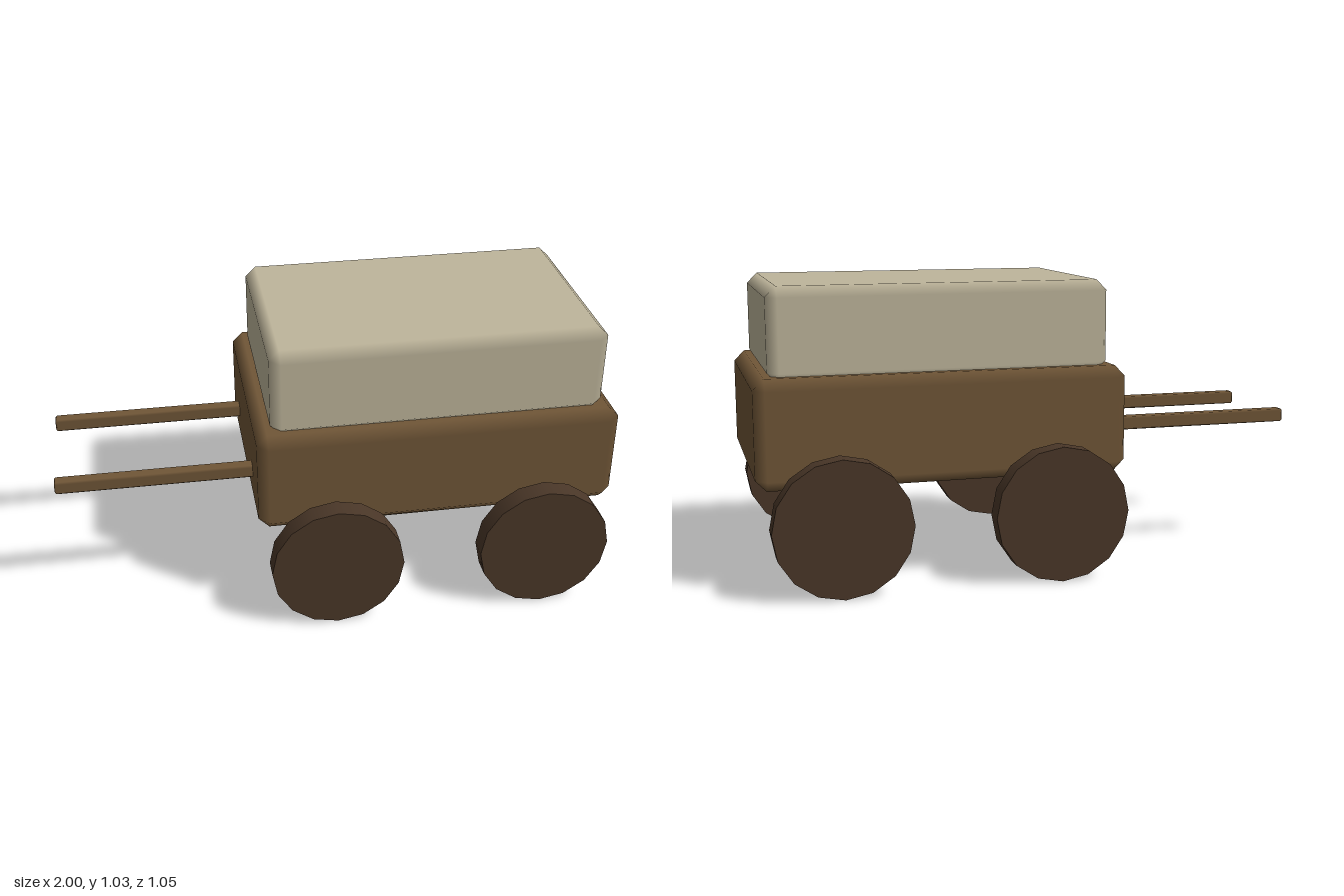
import * as THREE from 'three';
import { ConvexGeometry } from 'three/addons/geometries/ConvexGeometry.js';

const wood = new THREE.MeshStandardMaterial({ color: 0x705637 });
const darkWood = new THREE.MeshStandardMaterial({ color: 0x4a3728 });
const canvas = new THREE.MeshStandardMaterial({ color: 0xbeb59b });

// Box with one 45 degree chamfer on every edge; faces stay flat, chamfers shade smoothly
function chamferBox(w, h, d, c) {
  const half = [w / 2, h / 2, d / 2];
  const points = [];
  for (const sx of [-1, 1]) for (const sy of [-1, 1]) for (const sz of [-1, 1]) {
    for (let axis = 0; axis < 3; axis++) {
      const p = [sx, sy, sz].map((s, i) => s * (half[i] - (i === axis ? 0 : c)));
      points.push(new THREE.Vector3(...p));
    }
  }
  const geo = new ConvexGeometry(points);
  const pos = geo.attributes.position;
  const normal = geo.attributes.normal;
  for (let i = 0; i < pos.count; i++) {
    const p = [pos.getX(i), pos.getY(i), pos.getZ(i)];
    const n = p.map((v, k) => (Math.abs(v) > half[k] - c / 2 ? Math.sign(v) : 0));
    normal.setXYZ(i, ...n);
  }
  return geo;
}

export function createModel() {
  const cart = new THREE.Group();
  cart.name = 'cart';

  const add = (name, geometry, material, x, y, z) => {
    const mesh = new THREE.Mesh(geometry, material);
    mesh.name = name;
    mesh.position.set(x, y, z);
    cart.add(mesh);
  };

  // Cart bed and the covered load sunk slightly into it
  add('bed', chamferBox(1.296, 0.377, 0.862, 0.038), wood, 0.352, 0.542, 0);
  add('cover', chamferBox(1.188, 0.325, 0.756, 0.037), canvas, 0.352, 0.867, 0);

  // Solid disc wheels and pull shafts, mirrored on both sides
  const wheel = new THREE.CylinderGeometry(0.2375, 0.2375, 0.075, 16).rotateX(Math.PI / 2);
  const shaft = chamferBox(0.76, 0.048, 0.048, 0.006);
  for (const [side, z] of [['left', 1], ['right', -1]]) {
    add(side + 'ShaftWheelNear', wheel, darkWood, -0.029, 0.2375, z * 0.488);
    add(side + 'ShaftWheelFar', wheel, darkWood, 0.727, 0.2375, z * 0.488);
    add(side + 'Shaft', shaft, wood, -0.62, 0.49, z * 0.216);
  }
  return cart;
}
